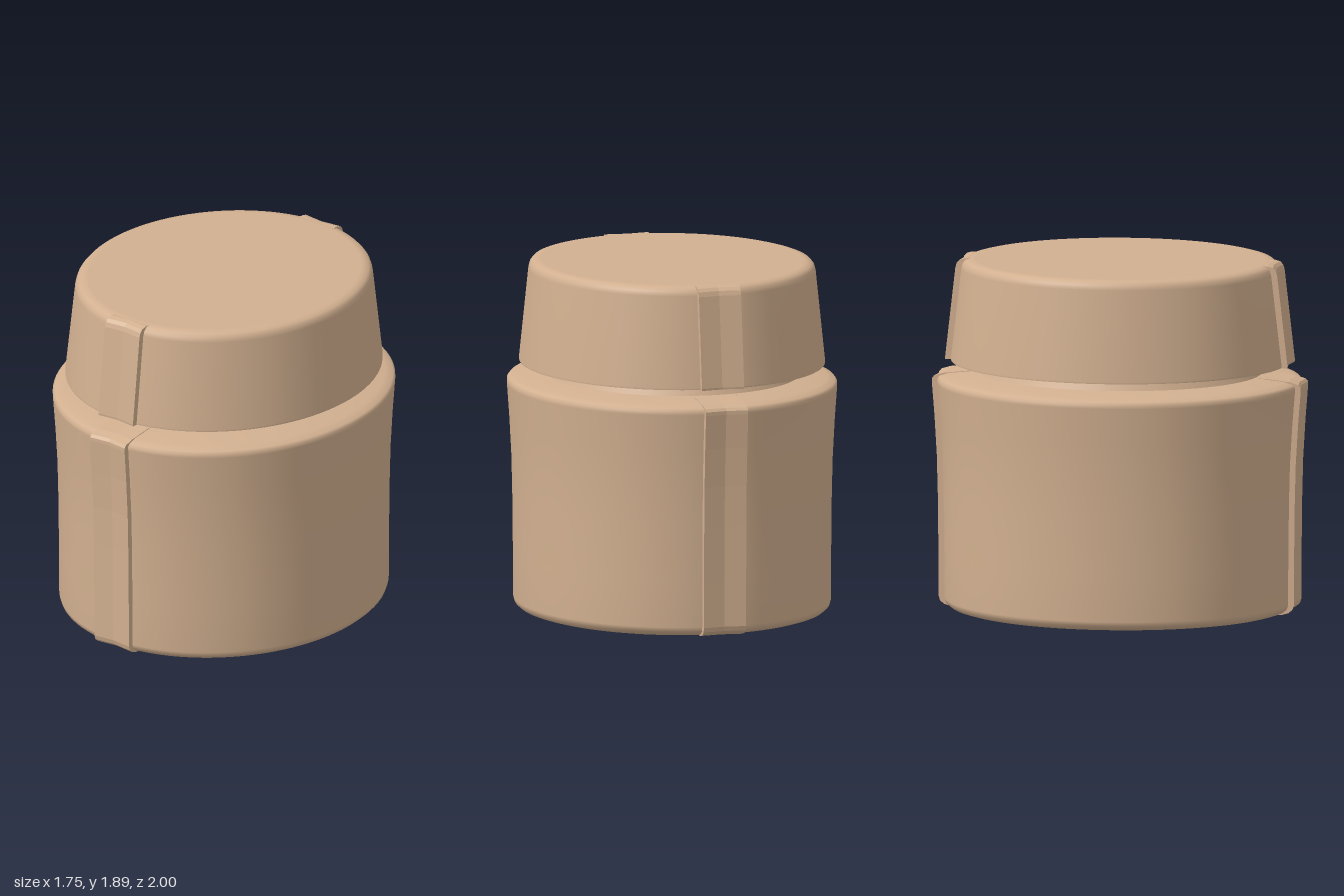
import * as THREE from 'three';

const DEPTH = 1.12; // oval: depth relative to width
const RIB_HALF = 0.118;

// Oval solid from a half profile; repeated points keep an edge sharp
function ovalSolid(name, profile, material) {
  const points = profile.map(([r, y]) => new THREE.Vector2(r, y));
  const geometry = new THREE.LatheGeometry(points, 96);
  geometry.scale(1, 1, DEPTH);
  const mesh = new THREE.Mesh(geometry, material);
  mesh.name = name;
  return mesh;
}

// Raised strip with a shallow groove, following a profile on the +z side
function rib(name, profile, material) {
  const positions = [];
  const section = ([r, y]) => {
    const z = r * DEPTH + 0.022;
    return [[-RIB_HALF, y, z - 0.1], [-RIB_HALF, y, z], [0, y, z - 0.014],
      [RIB_HALF, y, z], [RIB_HALF, y, z - 0.1]];
  };
  for (let i = 0; i < profile.length - 1; i++) {
    const a = section(profile[i]), b = section(profile[i + 1]);
    for (let j = 0; j < 4; j++) {
      positions.push(...a[j], ...a[j + 1], ...b[j + 1], ...a[j], ...b[j + 1], ...b[j]);
    }
  }
  const geometry = new THREE.BufferGeometry();
  geometry.setAttribute('position', new THREE.Float32BufferAttribute(positions, 3));
  geometry.computeVertexNormals();
  const mesh = new THREE.Mesh(geometry, material);
  mesh.name = name;
  return mesh;
}

export function createModel() {
  const group = new THREE.Group();
  group.name = 'lidded jar';
  const tan = new THREE.MeshStandardMaterial({ color: 0xd2b090 });
  tan.name = 'tan';
  tan.side = THREE.DoubleSide;

  // Jar wall, from rounded base to shoulder
  const wall = [[0.785, 0.002], [0.815, 0.012], [0.835, 0.03], [0.842, 0.055], [0.843, 0.3],
    [0.846, 0.6], [0.851, 0.82], [0.862, 1.03], [0.875, 1.215], [0.875, 1.235],
    [0.864, 1.25], [0.82, 1.265], [0.7, 1.28]];
  group.add(ovalSolid('jarBody',
    [[0, 0], [0.77, 0], [0.77, 0], ...wall, [0.68, 1.283]], tan));

  // Neck between shoulder and lid
  group.add(ovalSolid('neck', [[0.685, 1.275], [0.655, 1.345]], tan));

  // Lid with tapered side and rounded top edge
  const lidSide = [[0.81, 1.34], [0.811, 1.35], [0.761, 1.84], [0.754, 1.865],
    [0.74, 1.882], [0.715, 1.889]];
  group.add(ovalSolid('lid',
    [[0, 1.34], [0.81, 1.34], ...lidSide, [0.7, 1.89], [0.7, 1.89], [0, 1.89]], tan));

  // Matching ribs on front and back of jar and lid
  const bodyRib = [[0.68, 0.002], ...wall];
  const lidRib = [[0.7, 1.341], ...lidSide, [0.68, 1.888]];
  for (const [side, turn] of [['front', 0], ['back', Math.PI]]) {
    const ribs = new THREE.Group();
    ribs.name = side + 'Ribs';
    ribs.add(rib(side + 'BodyRib', bodyRib, tan), rib(side + 'LidRib', lidRib, tan));
    ribs.rotation.y = turn;
    group.add(ribs);
  }
  return group;
}
